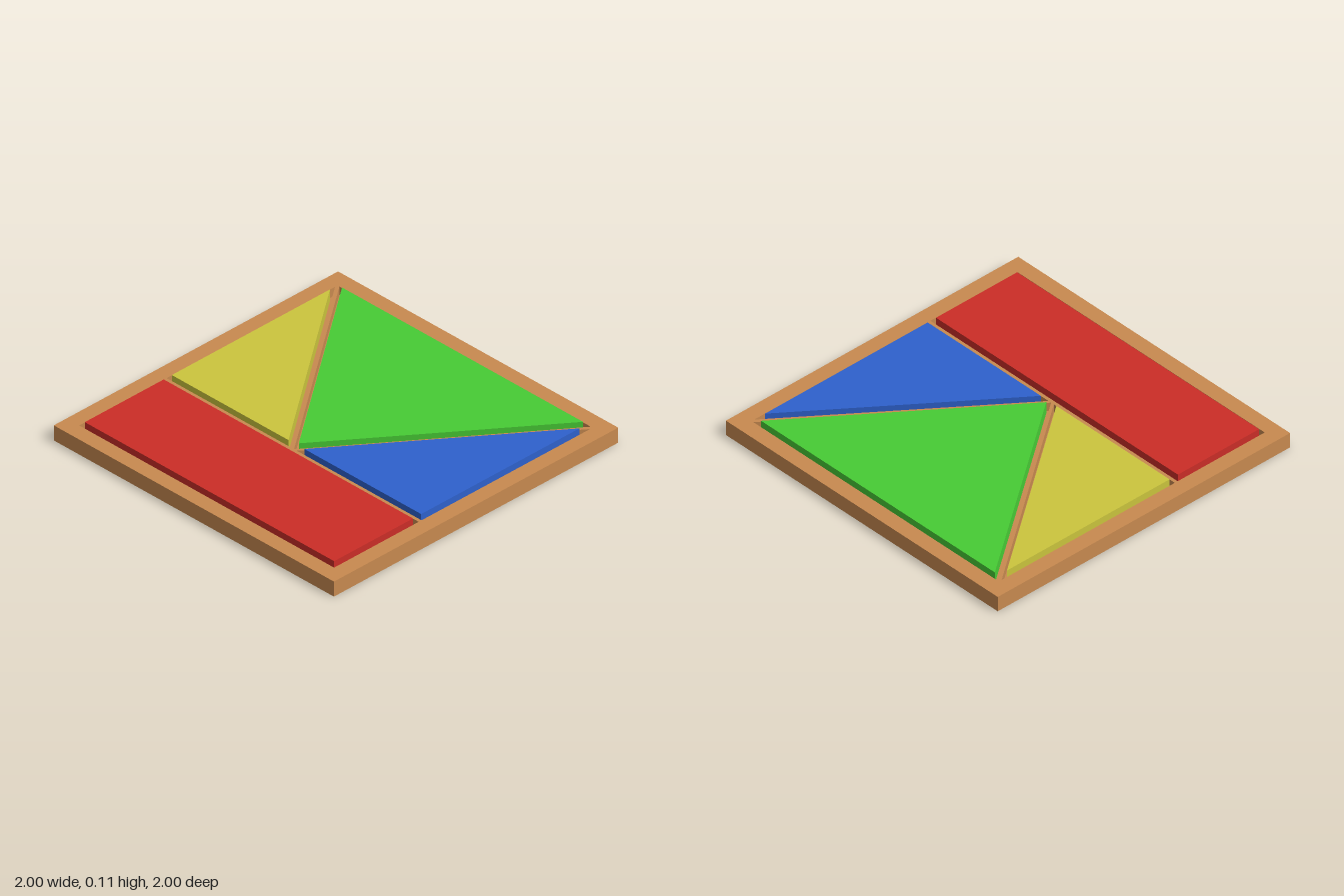
import * as THREE from 'three';
import { mergeGeometries } from 'three/addons/utils/BufferGeometryUtils.js';

const BOARD_TOP = 0.09, POCKET_FLOOR = 0.04, PIECE_TOP = 0.11;

// Plan outlines as [x, -z], counter-clockwise seen from above
const mirror = pts => pts.map(([x, y]) => [x, -y]).reverse();
const rect = (x0, x1, h) => [[x0, -h], [x1, -h], [x1, h], [x0, h]];
const cornerPocket = [[-0.295, 0.02], [0.89, 0.91], [-0.295, 0.91]];
const cornerPiece = [[-0.278, 0.057], [0.835, 0.89], [-0.278, 0.89]];

const parts = [
  { name: 'redRectangle', color: 0xcb2d27, pocket: rect(-0.91, -0.315, 0.91), piece: rect(-0.89, -0.335, 0.89) },
  { name: 'yellowTriangle', color: 0xcbc53d, pocket: cornerPocket, piece: cornerPiece },
  { name: 'blueTriangle', color: 0x2e61cc, pocket: mirror(cornerPocket), piece: mirror(cornerPiece) },
  {
    name: 'greenTriangle', color: 0x47cb35,
    pocket: [[-0.295, 0], [0.908, -0.897], [0.908, 0.897]],
    piece: [[-0.262, 0], [0.89, -0.86], [0.89, 0.86]],
  },
];

const toShape = pts => new THREE.Shape(pts.map(([x, y]) => new THREE.Vector2(x, y)));

// Flat horizontal face at height y
function flatFace(shape, y) {
  return new THREE.ShapeGeometry(shape).rotateX(-Math.PI / 2).translate(0, y, 0).toNonIndexed();
}

// Inward-facing walls of a pocket
function pocketWalls(pts) {
  const pos = [], uv = [];
  pts.forEach(([ax, ay], i) => {
    const [bx, by] = pts[(i + 1) % pts.length];
    const a0 = [ax, POCKET_FLOOR, -ay], a1 = [ax, BOARD_TOP, -ay];
    const b0 = [bx, POCKET_FLOOR, -by], b1 = [bx, BOARD_TOP, -by];
    pos.push(...b0, ...a0, ...a1, ...b0, ...a1, ...b1);
    uv.push(0, 0, 1, 0, 1, 1, 0, 0, 1, 1, 0, 1);
  });
  const geo = new THREE.BufferGeometry();
  geo.setAttribute('position', new THREE.Float32BufferAttribute(pos, 3));
  geo.setAttribute('uv', new THREE.Float32BufferAttribute(uv, 2));
  geo.computeVertexNormals();
  return geo;
}

function boardGeometry() {
  // Box without its top face
  const box = new THREE.BoxGeometry(2, BOARD_TOP, 2).translate(0, BOARD_TOP / 2, 0);
  const index = Array.from(box.index.array);
  index.splice(12, 6);
  box.setIndex(index);
  box.clearGroups();
  // Top face pierced by the pockets
  const top = toShape(rect(-1, 1, 1));
  top.holes = parts.map(p => toShape(p.pocket));
  const pockets = parts.flatMap(p => [pocketWalls(p.pocket), flatFace(toShape(p.pocket), POCKET_FLOOR)]);
  return mergeGeometries([box.toNonIndexed(), flatFace(top, BOARD_TOP), ...pockets]);
}

export function createModel() {
  const model = new THREE.Group();
  model.name = 'shapePuzzle';

  const board = new THREE.Mesh(boardGeometry(), new THREE.MeshStandardMaterial({ color: 0xc88a50 }));
  board.name = 'board';
  model.add(board);

  // Loose pieces resting in their pockets
  for (const { name, color, piece } of parts) {
    const geo = new THREE.ExtrudeGeometry(toShape(piece), { depth: PIECE_TOP - POCKET_FLOOR, bevelEnabled: false });
    geo.rotateX(-Math.PI / 2).translate(0, POCKET_FLOOR, 0);
    const mesh = new THREE.Mesh(geo, new THREE.MeshStandardMaterial({ color }));
    mesh.name = name;
    model.add(mesh);
  }
  return model;
}
